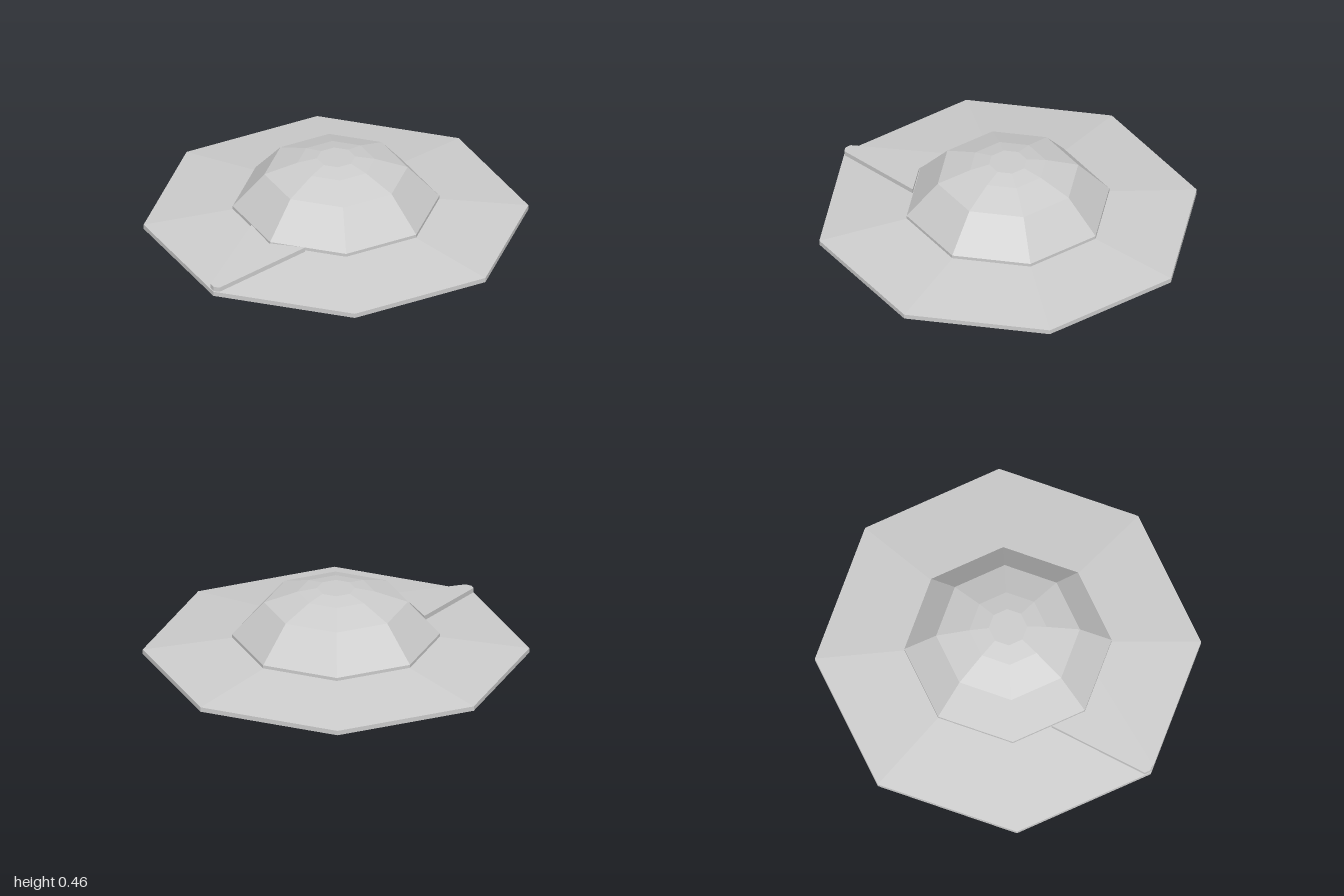
import * as THREE from 'three';

const material = new THREE.MeshStandardMaterial({ color: 0xcccccc, flatShading: true });

// Eight-sided solid of revolution with a corner facing +z; profile runs from bottom to top
function octagon(name, profile) {
  const points = profile.map(([r, y]) => new THREE.Vector2(r, y));
  const geometry = new THREE.LatheGeometry(points, 8).toNonIndexed();
  geometry.computeVertexNormals();
  const mesh = new THREE.Mesh(geometry, material);
  mesh.name = name;
  return mesh;
}

// Tapered plate lying on the sloping front corner of the hull
function createFrontPlate() {
  const outline = [[-0.18, 0.47], [-0.03, 0.985], [0, 0.997], [0.03, 0.985], [0.18, 0.47], [0, 0.545]];
  // Shape y becomes -z once the extrusion is laid flat
  const shape = new THREE.Shape(outline.map(([x, z]) => new THREE.Vector2(x, -z)));
  const geometry = new THREE.ExtrudeGeometry(shape, { depth: 0.025, bevelEnabled: false });
  geometry.rotateX(-Math.PI / 2);

  // Slope the plate down towards its tip
  const position = geometry.attributes.position;
  for (let i = 0; i < position.count; i++) {
    position.setY(i, position.getY(i) + 0.18 - 0.118 * (position.getZ(i) - 0.47));
  }
  geometry.computeVertexNormals();
  const plate = new THREE.Mesh(geometry, material);
  plate.name = 'frontPlate';
  return plate;
}

export function createModel() {
  const model = new THREE.Group();
  model.name = 'saucer';

  // Hull: recessed underside, thin rim and gently sloping top
  model.add(octagon('hull', [
    [0, 0.07], [0.34, 0.07], [0.55, 0], [1, 0.09], [1, 0.115], [0.53, 0.182], [0, 0.182],
  ]));

  // Dome with a narrow vertical lip
  model.add(octagon('dome', [
    [0, 0.183], [0.537, 0.183], [0.537, 0.2], [0.372, 0.382], [0.2, 0.442], [0.1, 0.462], [0, 0.462],
  ]));

  model.add(createFrontPlate());
  return model;
}
